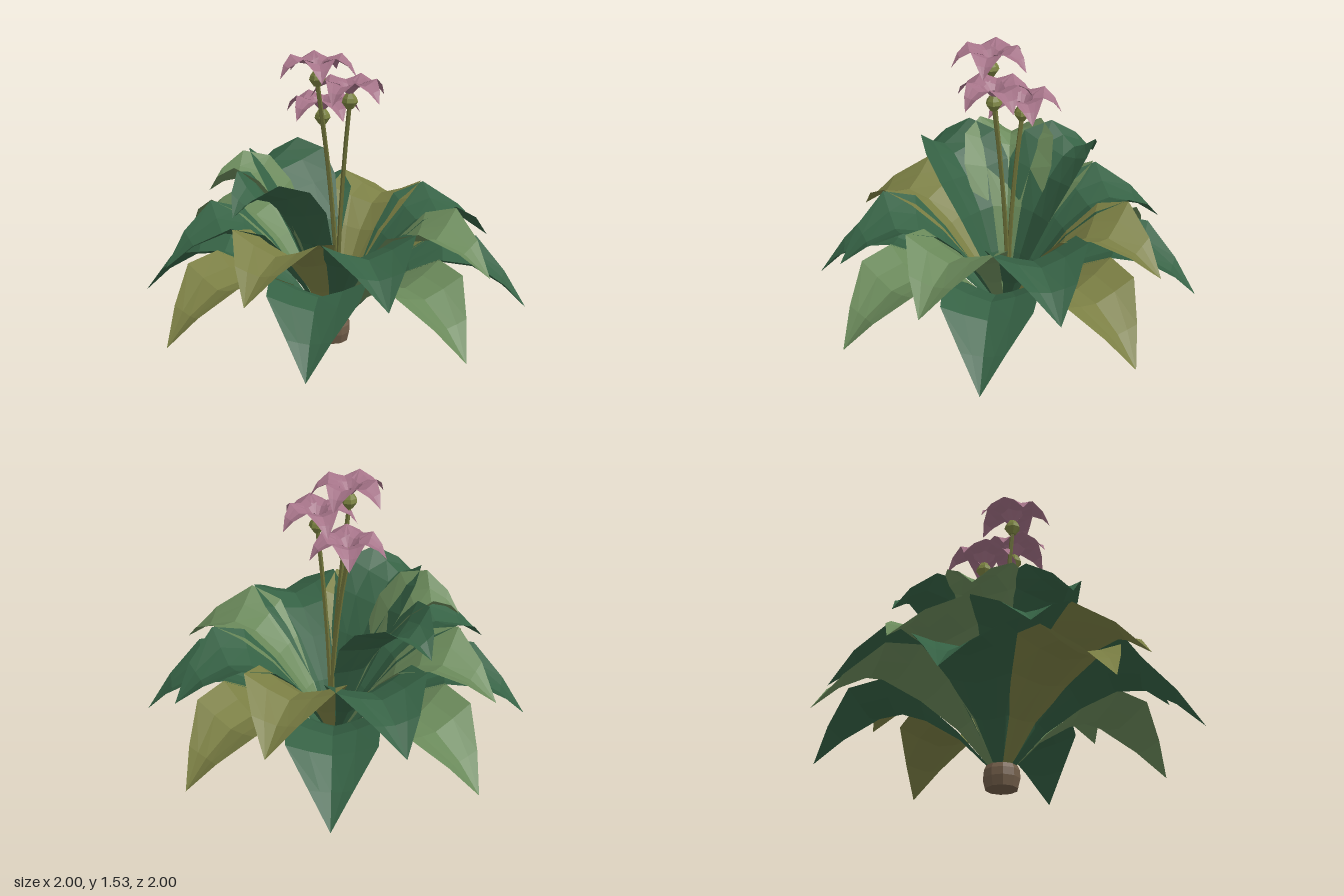
import * as THREE from 'three';

const paint = (name, color, side = THREE.FrontSide) =>
  Object.assign(new THREE.MeshStandardMaterial({ color, side, flatShading: true }), { name });

const green = paint('leaf green', 0x356144, THREE.DoubleSide);
const light = paint('light leaf green', 0x6a895a, THREE.DoubleSide);
const olive = paint('olive leaf', 0x7b7f44, THREE.DoubleSide);
const pink = paint('petal pink', 0xa57388, THREE.DoubleSide);
const stemGreen = paint('stem green', 0x6c7038);
const budGreen = paint('bud green', 0x7a8240);
const brown = paint('crown brown', 0x705c48);

// Cupped blade along +x; each row is [reach, height, half width, edge lift]
function bladeGeometry(rows) {
  const across = [-1, -0.5, 0, 0.5, 1];
  const pos = [], index = [];
  rows.forEach(([r, y, w, lift], i) => {
    const a = rows[Math.max(i - 1, 0)], b = rows[Math.min(i + 1, rows.length - 1)];
    const len = Math.hypot(b[0] - a[0], b[1] - a[1]);
    const nx = -(b[1] - a[1]) / len, ny = (b[0] - a[0]) / len;
    across.forEach((u, j) => {
      const h = lift * Math.abs(u) ** 1.3;
      pos.push(r + nx * h, y + ny * h, w * u);
      if (i < rows.length - 1 && j < across.length - 1) {
        const p = i * across.length + j, q = p + across.length;
        index.push(p, p + 1, q, p + 1, q + 1, q);
      }
    });
  });
  const g = new THREE.BufferGeometry();
  g.setAttribute('position', new THREE.Float32BufferAttribute(pos, 3));
  g.setIndex(index);
  const flat = g.toNonIndexed();
  flat.computeVertexNormals();
  return flat;
}

function add(parent, name, geometry, material) {
  const mesh = new THREE.Mesh(geometry, material);
  mesh.name = name;
  parent.add(mesh);
  return mesh;
}

export function createModel() {
  const plant = new THREE.Group();
  plant.name = 'floweringPlant';

  // Barrel-shaped crown at the base
  const crown = [[0, 0], [0.082, 0], [0.094, 0.05], [0.092, 0.09], [0.08, 0.115], [0, 0.115]];
  add(plant, 'crown', new THREE.LatheGeometry(crown.map(p => new THREE.Vector2(...p)), 10), brown);

  // Three tiers of arching leaves; the top tier only fills the back
  const tiers = [
    { name: 'outerLeaf', start: -7, colours: [olive, green, light, green, olive, green, light, green],
      rows: [[0.05, 0.1, 0.022, 0.005], [0.22, 0.28, 0.075, 0.02], [0.4, 0.4, 0.165, 0.055],
        [0.57, 0.465, 0.235, 0.09], [0.71, 0.45, 0.22, 0.085], [0.87, 0.355, 0.105, 0.035], [1.005, 0.225, 0, 0]] },
    { name: 'middleLeaf', start: -31, colours: [olive, green, light, green, olive, green, light, green],
      rows: [[0.04, 0.1, 0.022, 0.005], [0.17, 0.32, 0.06, 0.02], [0.32, 0.51, 0.15, 0.05],
        [0.46, 0.62, 0.235, 0.09], [0.58, 0.65, 0.235, 0.1], [0.73, 0.6, 0.12, 0.045], [0.87, 0.495, 0, 0]] },
    { name: 'innerLeaf', start: -100, colours: [green, light, green],
      rows: [[0.03, 0.1, 0.025, 0.005], [0.11, 0.36, 0.09, 0.025], [0.2, 0.58, 0.17, 0.055],
        [0.31, 0.75, 0.23, 0.09], [0.41, 0.845, 0.235, 0.11], [0.49, 0.875, 0.165, 0.105],
        [0.56, 0.86, 0.08, 0.05], [0.635, 0.81, 0, 0]] },
  ];
  for (const { name, start, colours, rows } of tiers) {
    const geometry = bladeGeometry(rows);
    colours.forEach((colour, i) => {
      add(plant, name, geometry, colour).rotation.y = -THREE.MathUtils.degToRad(start - 45 * i);
    });
  }

  // Flowers: stem, bud and five drooping petals
  const petal = bladeGeometry([[0.008, -0.045, 0.015, 0.005], [0.055, 0, 0.05, 0.02],
    [0.105, 0.012, 0.078, 0.028], [0.155, -0.012, 0.04, 0.012], [0.198, -0.065, 0, 0]]);
  const bud = [[0, -0.115], [0.018, -0.115], [0.042, -0.08], [0.036, -0.06], [0.018, -0.035], [0, -0.035]];
  const budGeometry = new THREE.LatheGeometry(bud.map(p => new THREE.Vector2(...p)), 7);
  const flowers = [
    { at: [-0.1, 1.495, 0.02], turn: 114 },
    { at: [0.045, 1.378, 0.09], turn: 3 },
    { at: [0, 1.265, -0.1], turn: 17 },
  ];
  for (const { at: [x, y, z], turn } of flowers) {
    const path = new THREE.QuadraticBezierCurve3(new THREE.Vector3(0.03, 0.1, 0),
      new THREE.Vector3(0.03, 0.65, 0), new THREE.Vector3(x, y - 0.1, z));
    add(plant, 'flowerStem', new THREE.TubeGeometry(path, 6, 0.012, 5), stemGreen);
    const flower = new THREE.Group();
    flower.name = 'flower';
    flower.position.set(x, y, z);
    add(flower, 'bud', budGeometry, budGreen);
    for (let i = 0; i < 5; i++) {
      add(flower, 'petal', petal, pink).rotation.y = -THREE.MathUtils.degToRad(turn + 72 * i);
    }
    plant.add(flower);
  }
  return plant;
}
